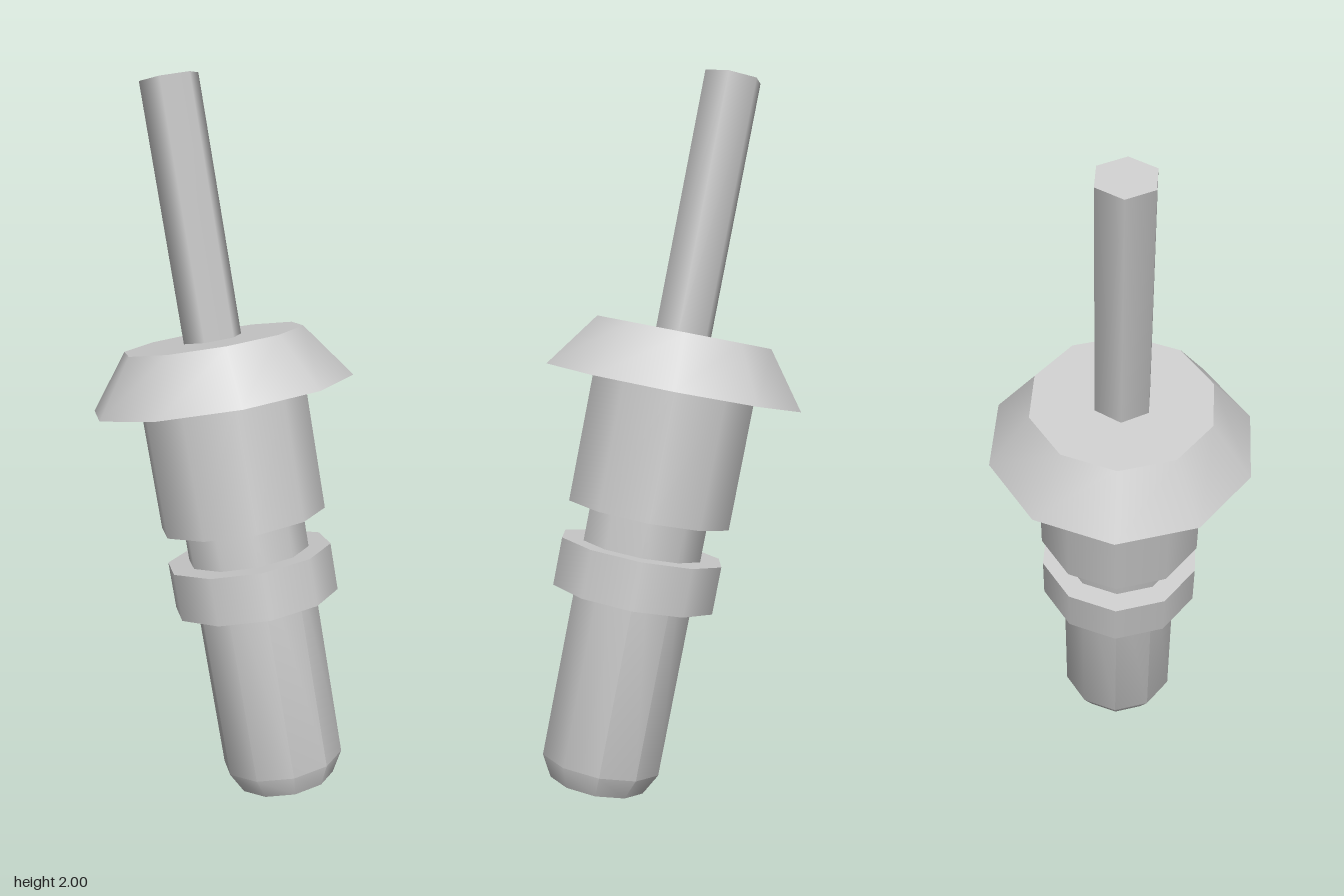
import * as THREE from 'three';
import { toCreasedNormals } from 'three/addons/utils/BufferGeometryUtils.js';

export function createModel() {
  const model = new THREE.Group();
  model.name = 'plug';
  const material = new THREE.MeshStandardMaterial({ color: 0xcccccc });

  // All parts share one leaning axis; heights are measured along it.
  const plug = new THREE.Group();
  plug.name = 'leaningPlug';
  const axis = new THREE.Vector3(-0.413, 1.952, 0.045).normalize();
  plug.quaternion.setFromUnitVectors(new THREE.Vector3(0, 1, 0), axis);
  plug.position.set(0.219, 0.03, -0.024);
  model.add(plug);

  const add = (name, geometry, y = 0) => {
    const mesh = new THREE.Mesh(geometry, material);
    mesh.name = name;
    mesh.position.y = y;
    plug.add(mesh);
  };
  const section = (name, y0, y1, r0, r1 = r0, sides = 10) =>
    add(name, new THREE.CylinderGeometry(r1, r0, y1 - y0, sides, 1, false, Math.PI / 2), (y0 + y1) / 2);

  // Lower barrel with a chamfered foot, running up to form the neck
  const profile = [[0, 0], [0.138, 0], [0.172, 0.062], [0.172, 0.785]]
    .map(([r, y]) => new THREE.Vector2(r, y));
  add('barrel', toCreasedNormals(new THREE.LatheGeometry(profile, 10, Math.PI / 2), 0.75));

  section('ring', 0.5415, 0.675, 0.234);
  section('upperBody', 0.779, 1.14, 0.234);
  section('flange', 1.137, 1.289, 0.367, 0.2525);
  section('pin', 1.285, 1.996, 0.082, 0.082, 6);

  return model;
}
